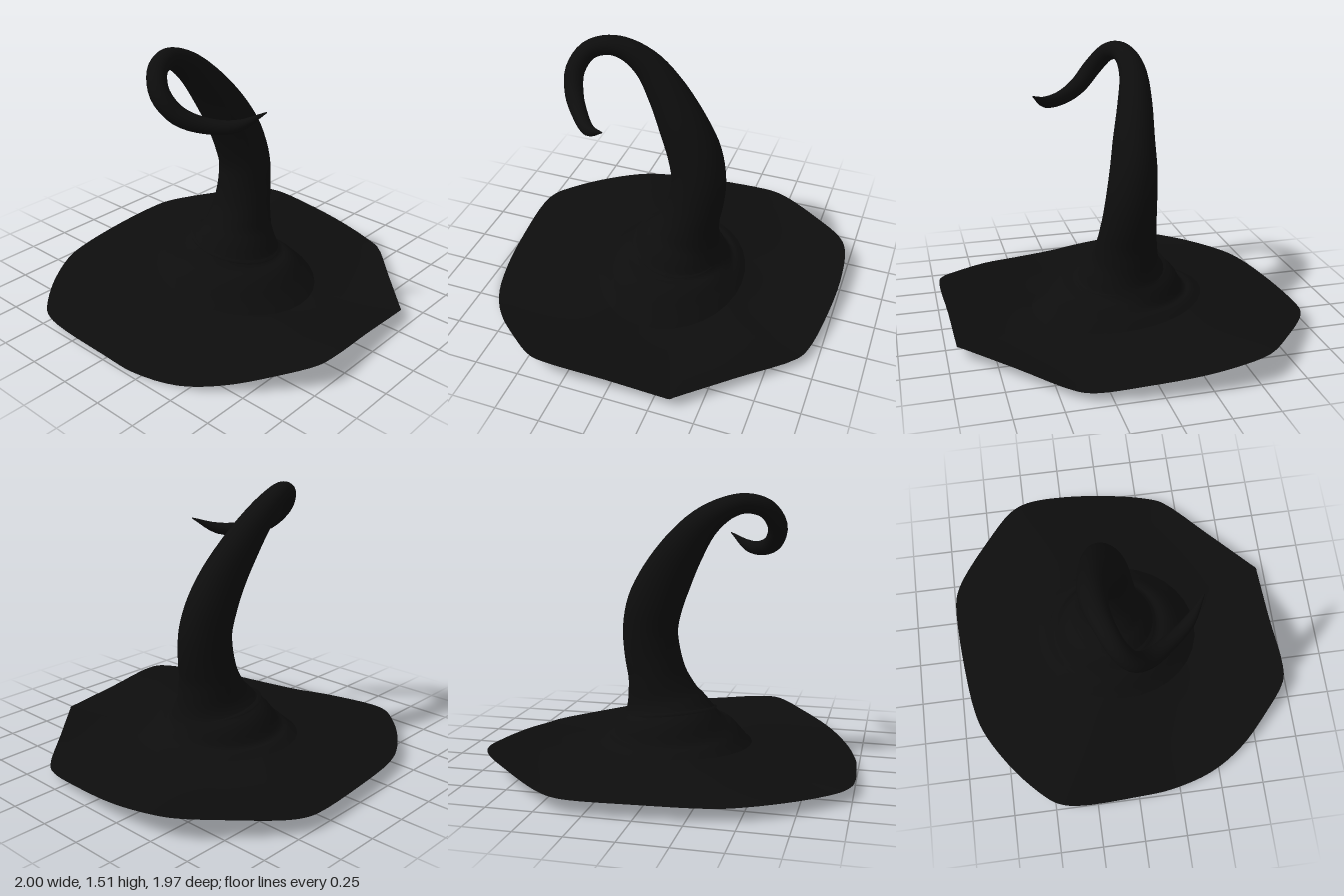
import * as THREE from 'three';

const felt = new THREE.MeshStandardMaterial({ color: 0x0d0d0d, side: THREE.DoubleSide });
felt.name = 'black felt';

// Skin a list of closed rings, each an array of Vector3 of the same length
function loft(name, rings) {
  const n = rings[0].length, index = [];
  for (let i = 0; i < rings.length - 1; i++) {
    for (let j = 0; j < n; j++) {
      const k = (j + 1) % n, a = i * n, b = a + n;
      index.push(a + j, a + k, b + k, a + j, b + k, b + j);
    }
  }
  const geometry = new THREE.BufferGeometry().setFromPoints(rings.flat());
  geometry.setIndex(index);
  geometry.computeVertexNormals();
  const mesh = new THREE.Mesh(geometry, felt);
  mesh.name = name;
  return mesh;
}

// Crown stations: centre x, y, z, then radius across, radius deep, forward tilt
const STATIONS = [
  [0.03, 0.1, 0, 0.43, 0.49, -0.08],
  [0.03, 0.16, -0.015, 0.37, 0.41, -0.06],
  [0.045, 0.22, -0.045, 0.305, 0.315, -0.03],
  [0.07, 0.3, -0.035, 0.245, 0.235, 0],
  [0.1, 0.38, -0.035, 0.2, 0.185, 0],
  [0.133, 0.5, -0.038, 0.163, 0.163, 0],
  [0.158, 0.62, -0.043, 0.158, 0.148, 0],
  [0.166, 0.75, -0.052, 0.155, 0.138, 0],
  [0.135, 0.89, -0.07, 0.155, 0.128, 0],
  [0.065, 1.04, -0.09, 0.143, 0.113, 0],
  [-0.045, 1.215, -0.125, 0.115, 0.095, 0],
  [-0.16, 1.35, -0.148, 0.085, 0.078, 0],
  [-0.28, 1.43, -0.142, 0.062, 0.065, 0],
  [-0.38, 1.455, -0.115, 0.053, 0.055, 0],
  [-0.48, 1.425, -0.07, 0.052, 0.052, 0],
  [-0.53, 1.335, 0, 0.053, 0.053, 0],
  [-0.5, 1.24, 0.09, 0.05, 0.05, 0],
  [-0.42, 1.192, 0.2, 0.042, 0.042, 0],
  [-0.32, 1.19, 0.32, 0.033, 0.033, 0],
  [-0.2, 1.255, 0.415, 0.003, 0.003, 0],
];

// Tall crown that bends over and curls forward to a point
function crown() {
  const spine = new THREE.CatmullRomCurve3(STATIONS.map((s) => new THREE.Vector3(s[0], s[1], s[2])));
  const sizes = new THREE.CatmullRomCurve3(STATIONS.map((s) => new THREE.Vector3(s[3], s[4], s[5])));
  const rings = [], steps = 76, sides = 32;
  const u = new THREE.Vector3(1, 0, 0);
  for (let i = 0; i <= steps; i++) {
    const t = i / steps, c = spine.getPoint(t), size = sizes.getPoint(t);
    // keep the lower rings level, then follow the spine
    const dir = spine.getTangent(t).lerp(new THREE.Vector3(0, 1, 0), Math.max(0, 1 - t / 0.4)).normalize();
    u.addScaledVector(dir, -u.dot(dir)).normalize();
    const v = dir.clone().cross(u);
    const ring = [];
    for (let j = 0; j < sides; j++) {
      const a = (j / sides) * Math.PI * 2;
      const p = c.clone().addScaledVector(u, size.x * Math.cos(a)).addScaledVector(v, size.y * Math.sin(a));
      p.y += size.z * (p.z - c.z);
      ring.push(p);
    }
    rings.push(ring);
  }
  return loft('crown', rings);
}

// Rim of the brim: x, y, z around the hat
const RIM = [
  [-0.99, 0.025, 0], [-1, 0.055, -0.38], [-0.97, 0.06, -0.49], [-0.92, 0.06, -0.56],
  [-0.75, 0.065, -0.72], [-0.52, 0.07, -0.87], [-0.37, 0.07, -0.925], [0, 0.075, -0.975],
  [0.33, 0.075, -0.99], [0.42, 0.078, -0.975], [0.52, 0.085, -0.925], [0.75, 0.11, -0.745],
  [0.92, 0.127, -0.585], [0.975, 0.127, -0.47], [1, 0.1, -0.22], [0.98, 0.07, 0.1],
  [0.94, 0.045, 0.33], [0.9, 0.045, 0.42], [0.63, 0.06, 0.68], [0.37, 0.07, 0.926],
  [0.35, 0.07, 0.945], [0.32, 0.072, 0.947], [0, 0.1, 0.96], [-0.33, 0.13, 0.98],
  [-0.43, 0.127, 0.962], [-0.6, 0.09, 0.83], [-0.78, 0.045, 0.65], [-0.9, 0.01, 0.45],
  [-0.97, 0.004, 0.2],
];

// Wide, wavy brim running from the foot of the crown to the rim
function brim() {
  const edge = new THREE.CatmullRomCurve3(RIM.map((p) => new THREE.Vector3(...p)), true);
  const rim = [];
  for (let i = 0; i < RIM.length * 4; i++) rim.push(edge.getPoint(i / (RIM.length * 4)));
  const foot = rim.map((p) => {
    const a = Math.atan2(p.z / 0.49, (p.x - 0.03) / 0.43);
    const z = 0.485 * Math.sin(a);
    return new THREE.Vector3(0.03 + 0.425 * Math.cos(a), 0.1 - 0.08 * z, z);
  });
  const rings = [];
  for (let i = 0; i <= 8; i++) {
    const t = i / 8;
    rings.push(foot.map((p, j) => {
      const q = p.clone().lerp(rim[j], t);
      q.y -= 0.012 * Math.sin(Math.PI * t);
      return q;
    }));
  }
  return loft('brim', rings);
}

// Small tilted fold in the felt low on the crown
function fold() {
  const rings = [[-0.01, -0.035], [0, 0], [-0.08, 0.012]].map(([dr, dy]) => {
    const ring = [];
    for (let j = 0; j < 32; j++) {
      const a = (j / 32) * Math.PI * 2;
      const x = 0.055 + (0.26 + dr) * Math.cos(a), z = -0.02 - (0.26 + dr) * Math.sin(a);
      ring.push(new THREE.Vector3(x, 0.287 - 0.12 * x - 0.15 * z + dy, z));
    }
    return ring;
  });
  return loft('crownFold', rings);
}

export function createModel() {
  const hat = new THREE.Group();
  hat.name = 'pointedHat';
  hat.add(brim(), crown(), fold());
  return hat;
}
